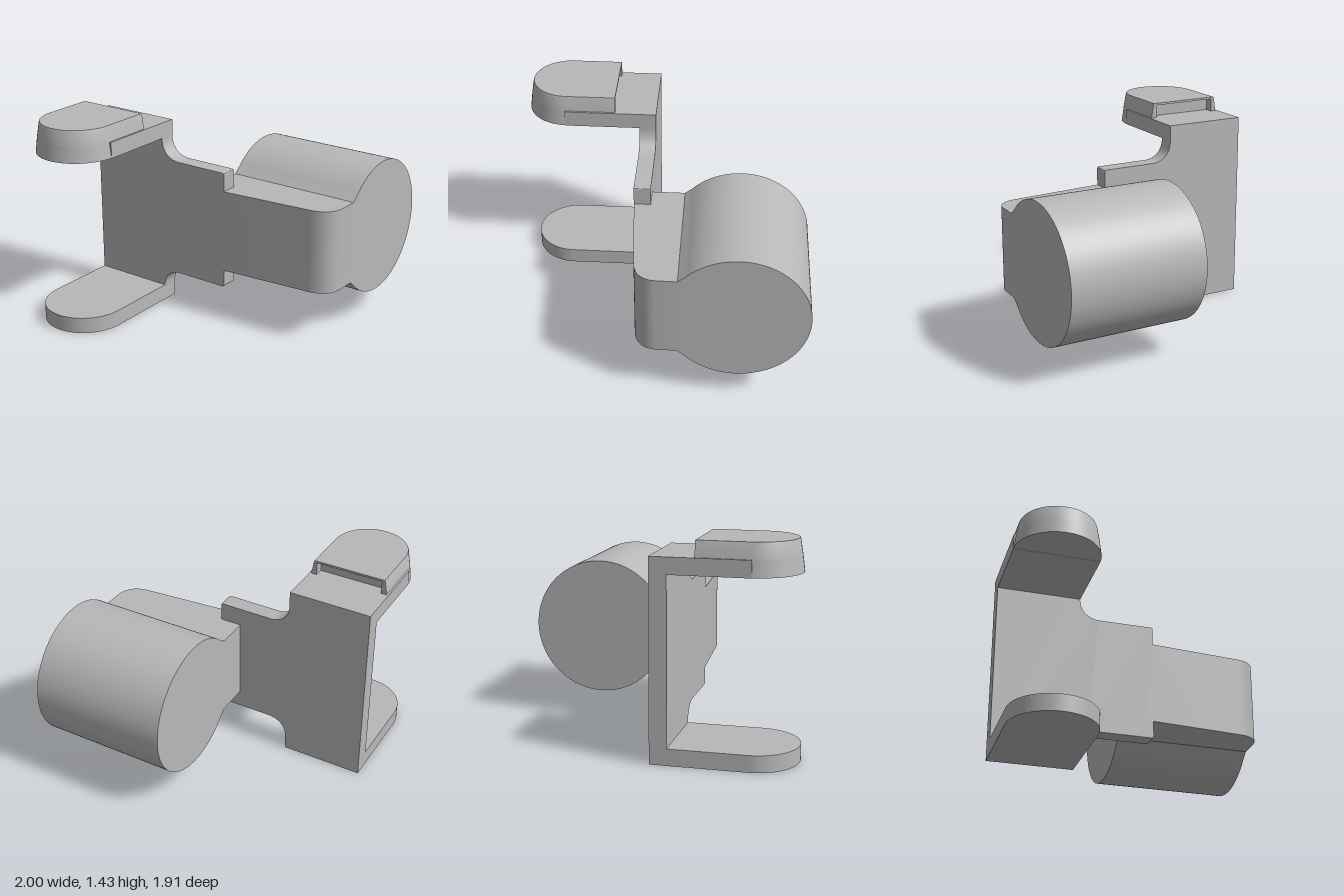
import * as THREE from 'three';
import { toCreasedNormals } from 'three/addons/utils/BufferGeometryUtils.js';

const ZC = -0.665; // middle of the clamp arms
const R = 0.29;    // half width of the arms
const XC = -0.71;  // centre of the rounded arm tips

export function createModel() {
  const group = new THREE.Group();
  const grey = new THREE.MeshStandardMaterial({ color: 0xb8b8b8 });
  grey.name = 'plain grey';

  const add = (name, geometry) => {
    const mesh = new THREE.Mesh(toCreasedNormals(geometry, 0.5), grey);
    mesh.name = name;
    group.add(mesh);
  };
  const extrude = (shape, depth) =>
    new THREE.ExtrudeGeometry(shape, { depth, bevelEnabled: false, curveSegments: 32 });
  // Shapes drawn in (x, -z) and raised along y
  const raise = (shape, y0, y1) =>
    extrude(shape, y1 - y0).rotateX(-Math.PI / 2).translate(0, y0, 0);
  // Shapes drawn in (z, y) and extruded from x1 back to x0
  const sideways = (shape, x0, x1) =>
    extrude(shape, x1 - x0).rotateY(-Math.PI / 2).translate(x1, 0, 0);

  // Upright plate with a narrower tongue running forward
  const plate = new THREE.Shape();
  plate.moveTo(-0.955, 0);
  plate.lineTo(-0.375, 0);
  plate.lineTo(-0.375, 0.11);
  plate.bezierCurveTo(-0.37, 0.2, -0.31, 0.24, -0.24, 0.242);
  plate.lineTo(0.135, 0.242);
  plate.quadraticCurveTo(0.15, 0.242, 0.15, 0.257);
  plate.lineTo(0.15, 1.06);
  plate.quadraticCurveTo(0.15, 1.075, 0.135, 1.075);
  plate.lineTo(-0.24, 1.075);
  plate.bezierCurveTo(-0.31, 1.08, -0.37, 1.12, -0.375, 1.21);
  plate.lineTo(-0.375, 1.33);
  plate.lineTo(-0.955, 1.33);
  add('uprightPlate', sideways(plate, -0.195, -0.08));

  // Lower arm with a half-round tip
  const lower = new THREE.Shape();
  lower.moveTo(-0.195, -ZC - R);
  lower.lineTo(-0.195, -ZC + R);
  lower.lineTo(XC, -ZC + R);
  lower.absarc(XC, -ZC, R, Math.PI / 2, Math.PI * 1.5, false);
  add('lowerArm', raise(lower, 0, 0.112));

  // Upper arm
  add('upperArm', new THREE.BoxGeometry(0.525, 0.11, 2 * R).translate(-0.4575, 1.275, ZC));

  // Tapered half-round block lofted through [height, inset] levels
  const taperedBlock = (levels, endX) => {
    const N = 32, count = N + 3, pos = [], idx = [];
    for (const [y, inset] of levels) {
      const r = R - inset;
      pos.push(endX, y, ZC + r);
      for (let i = 0; i <= N; i++) {
        const a = Math.PI / 2 + (i / N) * Math.PI;
        pos.push(XC + r * Math.cos(a), y, ZC + r * Math.sin(a));
      }
      pos.push(endX, y, ZC - r);
    }
    for (let l = 0; l < levels.length - 1; l++) {
      for (let i = 0; i < count; i++) {
        const a = l * count + i, b = l * count + (i + 1) % count;
        idx.push(a, a + count, b, b, a + count, b + count);
      }
    }
    const top = (levels.length - 1) * count;
    for (let i = 1; i < count - 1; i++) {
      idx.push(0, i, i + 1, top, top + i + 1, top + i);
    }
    const g = new THREE.BufferGeometry();
    g.setAttribute('position', new THREE.Float32BufferAttribute(pos, 3));
    g.setIndex(idx);
    return g;
  };
  add('capTip', taperedBlock([[1.222, 0], [1.33, 0.014]], XC));
  add('capTop', taperedBlock([[1.33, 0.014], [1.425, 0.03], [1.435, 0.034]], -0.43));

  // Thin open rim at the inner end of the cap
  const rim = new THREE.Shape([
    [-0.276, 1.33], [-0.236, 1.33], [-0.236, 1.42], [0.236, 1.42], [0.236, 1.33],
    [0.276, 1.33], [0.26, 1.425], [0.256, 1.435], [-0.256, 1.435], [-0.26, 1.425],
  ].map(([z, y]) => new THREE.Vector2(z + ZC, y)));
  add('capRim', sideways(rim, -0.43, -0.367));

  // Neck with a tapering outer side and a rounded front corner
  const neck = new THREE.Shape();
  neck.moveTo(0.145, 0);
  neck.lineTo(-0.195, 0);
  neck.lineTo(-0.195, -0.15);
  neck.lineTo(-0.142, -0.79);
  neck.bezierCurveTo(-0.135, -0.89, -0.08, -0.95, 0.01, -0.953);
  neck.lineTo(0.145, -0.955);
  add('neck', raise(neck, 0.365, 0.945));

  // Cylinder that flares into the neck
  const drum = new THREE.Shape();
  const cx = 0.53, cy = 0.655, r = 0.47, a = Math.PI * 0.75;
  drum.moveTo(0.145, 0.945);
  drum.lineTo(0.145, 0.365);
  drum.absarc(cx, cy, r, -a, a, false);
  drum.closePath();
  const drumGeometry = new THREE.ExtrudeGeometry(drum, {
    depth: 0.955, bevelEnabled: false, curveSegments: 72,
  });
  add('drum', drumGeometry);

  return group;
}
